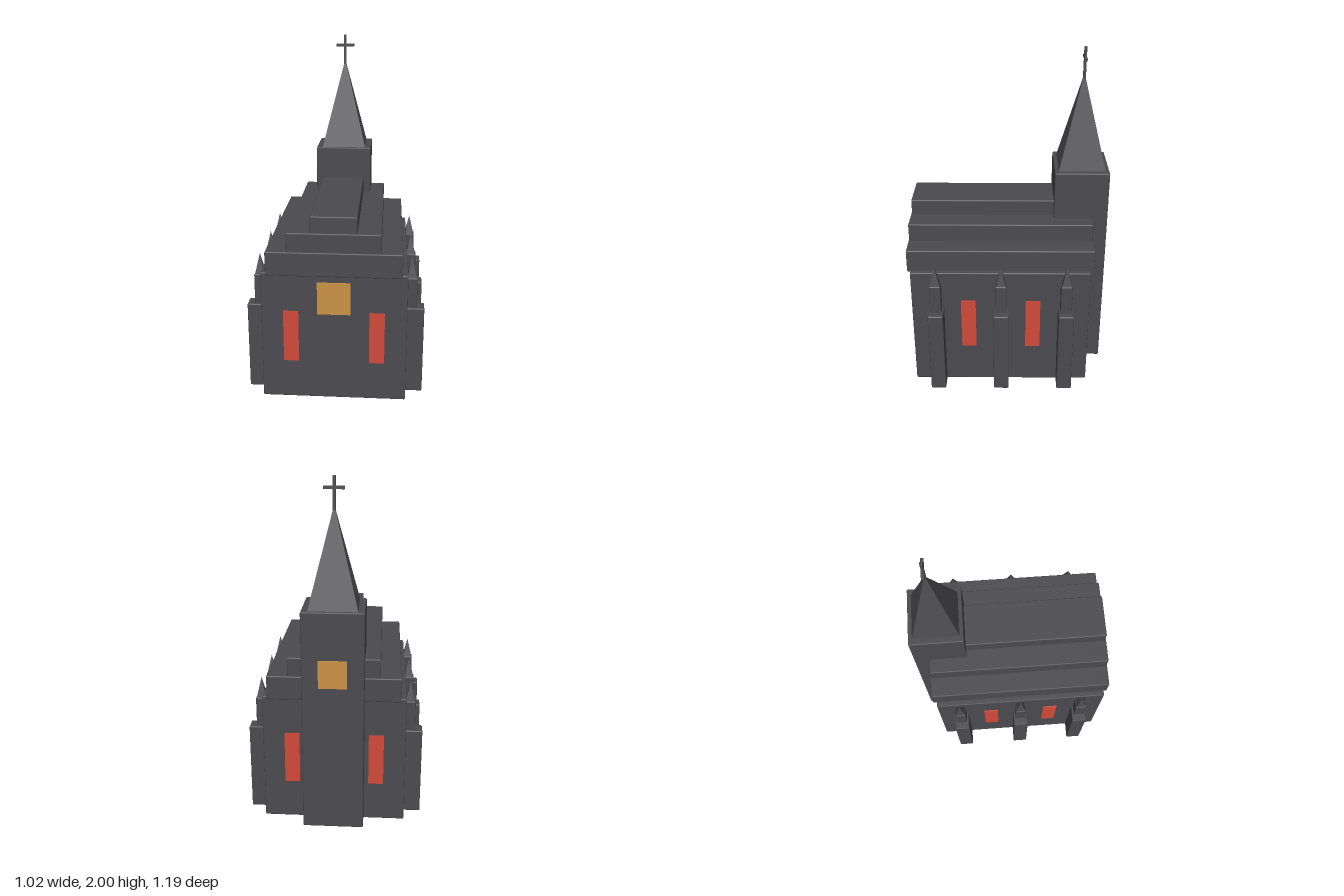
import * as THREE from 'three';
import { RoundedBoxGeometry } from 'three/addons/geometries/RoundedBoxGeometry.js';

const material = (name, color) => {
  const m = new THREE.MeshStandardMaterial({ color });
  m.name = name;
  return m;
};

export function createModel() {
  const model = new THREE.Group();
  model.name = 'church';
  const stone = material('charcoal stone', 0x4b4a4f);
  const red = material('red glass', 0xd0493a);
  const amber = material('amber glass', 0xcb9344);

  function add(name, geometry, mat, parent = model) {
    const mesh = new THREE.Mesh(geometry, mat);
    mesh.name = name;
    parent.add(mesh);
    return mesh;
  }

  // Box given by its extents, with lightly chamfered edges
  function block(name, [x0, x1], [y0, y1], [z0, z1], parent = model, bevel = 0.006) {
    const geo = new RoundedBoxGeometry(x1 - x0, y1 - y0, z1 - z0, 1, bevel);
    geo.translate((x0 + x1) / 2, (y0 + y1) / 2, (z0 + z1) / 2);
    return add(name, geo, stone, parent);
  }

  // Thin pane given by its extents
  function pane(name, mat, [x0, x1], [y0, y1], [z0, z1]) {
    const geo = new THREE.BoxGeometry(x1 - x0, y1 - y0, z1 - z0);
    geo.translate((x0 + x1) / 2, (y0 + y1) / 2, (z0 + z1) / 2);
    return add(name, geo, mat);
  }

  // Square pyramid with sides parallel to x and z
  function pyramid(name, half, y0, y1, x, z, parent = model) {
    const geo = new THREE.ConeGeometry(half * Math.SQRT2, y1 - y0, 4, 1).toNonIndexed();
    geo.rotateY(Math.PI / 4);
    geo.computeVertexNormals();
    geo.translate(x, (y0 + y1) / 2, z);
    return add(name, geo, stone, parent);
  }

  // Nave and stepped roof
  block('nave', [-0.412, 0.412], [0, 0.77], [-0.484, 0.575]);
  block('lowerRoof', [-0.381, 0.381], [0.76, 0.9], [-0.507, 0.595]);
  block('middleRoof', [-0.262, 0.262], [0.89, 1.01], [-0.5, 0.59]);
  block('upperRoof', [-0.13, 0.13], [1.0, 1.105], [-0.49, 0.583]);

  // Tower, spire and cross
  const towerZ = -0.43;
  block('tower', [-0.174, 0.174], [0, 1.3], [towerZ - 0.16, towerZ + 0.16]);
  pyramid('spire', 0.138, 1.295, 1.85, 0, towerZ);
  const cross = new THREE.Group();
  cross.name = 'cross';
  model.add(cross);
  block('crossPost', [-0.008, 0.008], [1.81, 2], [towerZ - 0.008, towerZ + 0.008], cross, 0.002);
  block('crossBar', [-0.057, 0.057], [1.928, 1.945], [towerZ - 0.008, towerZ + 0.008], cross, 0.002);

  // Buttresses with pinnacles, and side windows
  for (const side of [-1, 1]) {
    const span = (a, b) => (side > 0 ? [a, b] : [-b, -a]);
    for (const z of [-0.342, 0.043, 0.428]) {
      const buttress = new THREE.Group();
      buttress.name = side > 0 ? 'leftButtress' : 'rightButtress';
      model.add(buttress);
      block('buttressBase', span(0.4, 0.511), [0, 0.53], [z - 0.045, z + 0.045], buttress);
      block('buttressShaft', span(0.402, 0.468), [0.52, 0.71], [z - 0.033, z + 0.033], buttress);
      pyramid('pinnacle', 0.028, 0.705, 0.83, side * 0.436, z, buttress);
    }
    for (const z of [-0.147, 0.238])
      pane('sideWindow', red, span(0.411, 0.42), [0.255, 0.58], [z - 0.044, z + 0.044]);

    // Front and back windows
    pane('frontWindow', red, span(0.2, 0.287), [0.235, 0.543], [0.574, 0.583]);
    pane('backWindow', red, span(0.2, 0.287), [0.235, 0.543], [-0.492, -0.483]);
  }

  // Amber windows
  pane('frontAmberWindow', amber, [-0.094, 0.094], [0.53, 0.72], [0.574, 0.583]);
  pane('towerAmberWindow', amber, [-0.08, 0.08], [0.87, 1.03], [-0.598, -0.589]);

  return model;
}
